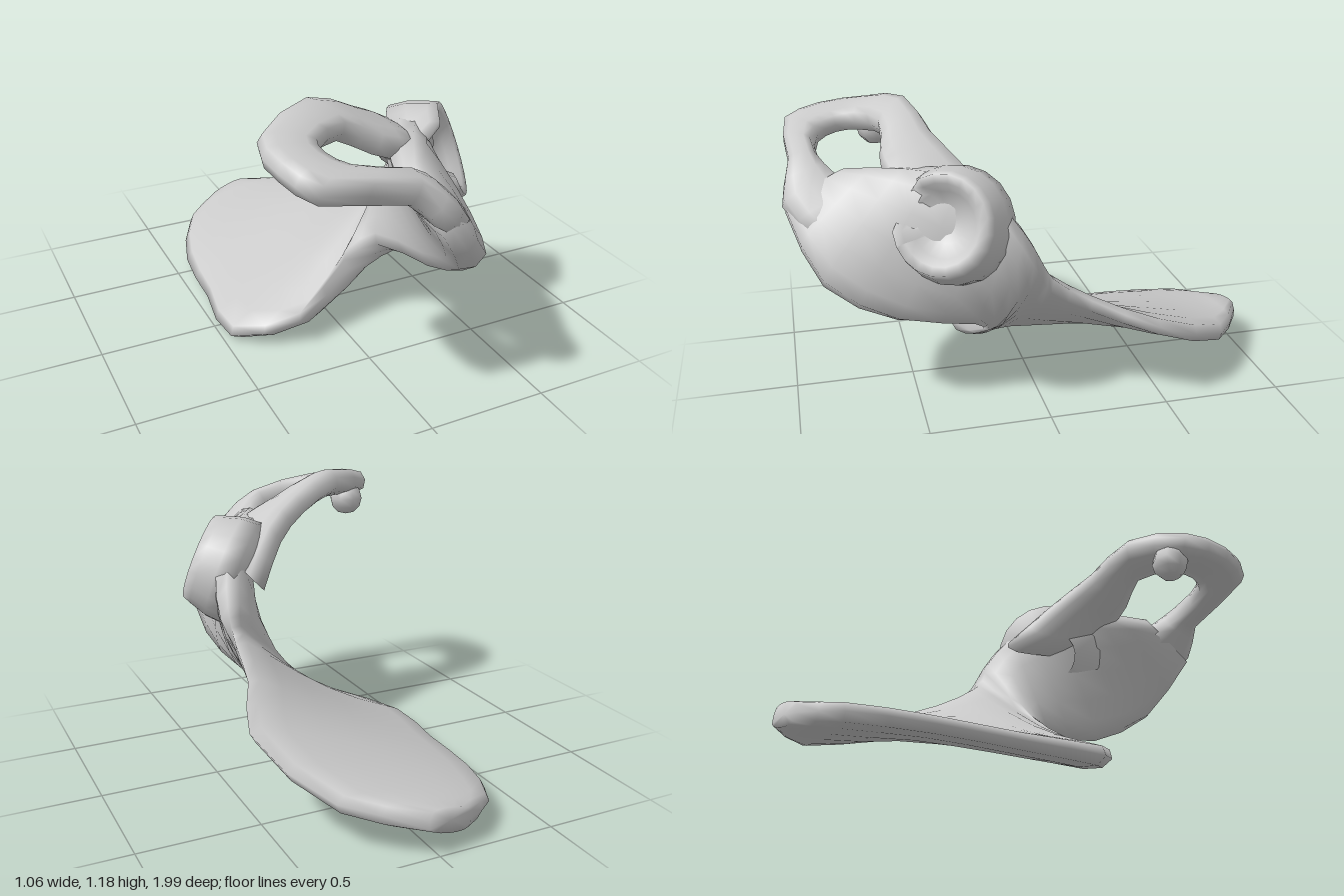
import * as THREE from 'three';

const V = (a) => new THREE.Vector3(...a);
const material = new THREE.MeshStandardMaterial({ color: 0xcccccc, side: THREE.DoubleSide });

// Sweep a flattened cross-section between two smooth edge curves.
// Each station: [edge A, edge B, sag of the middle, half thickness]
function sweep(name, stations, sides) {
  const curve = (pick) => new THREE.CatmullRomCurve3(stations.map(pick));
  const last = (stations.length - 1) * 2;
  const edgeA = curve((s) => V(s[0])).getPoints(last);
  const edgeB = curve((s) => V(s[1])).getPoints(last);
  const size = curve((s) => V([s[2], s[3], 0])).getPoints(last);
  const mid = edgeA.map((a, i) => {
    const m = a.clone().lerp(edgeB[i], 0.5);
    m.y -= size[i].x;
    return m;
  });

  const points = [], index = [];
  for (let i = 0; i <= last; i++) {
    const along = mid[Math.min(i + 1, last)].clone().sub(mid[Math.max(i - 1, 0)]);
    const normal = edgeB[i].clone().sub(edgeA[i]).cross(along).normalize();
    for (let k = 0; k < sides; k++) {
      const angle = (k / sides) * Math.PI * 2, u = Math.cos(angle), s = Math.sin(angle);
      points.push(new THREE.Vector3()
        .addScaledVector(edgeA[i], (u * (u - 1)) / 2)
        .addScaledVector(mid[i], 1 - u * u)
        .addScaledVector(edgeB[i], (u * (u + 1)) / 2)
        .addScaledVector(normal, size[i].y * Math.sign(s) * Math.pow(Math.abs(s), 0.45)));
    }
  }
  // Side faces and end caps
  const cap = points.length;
  points.push(mid[0], mid[last]);
  for (let k = 0; k < sides; k++) {
    const k1 = (k + 1) % sides;
    for (let i = 0; i < last; i++) {
      const a = i * sides + k, b = i * sides + k1;
      index.push(a, a + sides, b, b, a + sides, b + sides);
    }
    index.push(cap, k, k1, cap + 1, last * sides + k1, last * sides + k);
  }
  const geo = new THREE.BufferGeometry().setFromPoints(points);
  geo.setIndex(index);
  geo.computeVertexNormals();
  const mesh = new THREE.Mesh(geo, material);
  mesh.name = name;
  return mesh;
}

// Hip socket: a turned cup on a flared base, with a notch in its front rim
function socket() {
  const axis = V([0.79, 0.35, 0.5]).normalize();
  const profile = [[0.12, -0.25], [0.24, -0.2], [0.235, -0.12], [0.21, -0.04], [0.195, 0],
    [0.16, -0.01], [0.13, -0.05], [0.07, -0.09], [0, -0.1]];
  const geo = new THREE.LatheGeometry(profile.map((p) => new THREE.Vector2(...p)), 20);
  geo.applyQuaternion(new THREE.Quaternion().setFromUnitVectors(V([0, 1, 0]), axis));
  const p = geo.attributes.position, v = new THREE.Vector3();
  for (let i = 0; i < p.count; i++) {
    v.fromBufferAttribute(p, i);
    const inNotch = v.dot(axis) > -0.06 && v.z > 0.06 && v.y > -0.03 && v.y < 0.13;
    if (inNotch) v.addScaledVector(axis, -0.06);
    p.setXYZ(i, v.x, v.y, v.z);
  }
  geo.computeVertexNormals();
  const mesh = new THREE.Mesh(geo, material);
  mesh.name = 'hipSocket';
  mesh.position.set(0.4, 0.87, 0.42);
  return mesh;
}

export function createModel() {
  const model = new THREE.Group();
  model.name = 'hipBone';

  // Wide blade, fanning round into the neck and the lower body
  model.add(sweep('bladeAndBody', [
    [[-0.15, 0.13, -0.97], [0.05, 0.18, -1.0], 0, 0.05],
    [[-0.32, 0.1, -0.84], [0.33, 0.22, -0.81], 0, 0.055],
    [[-0.44, 0.065, -0.54], [0.52, 0.39, -0.45], 0.01, 0.05],
    [[-0.46, 0.055, -0.2], [0.42, 0.49, -0.19], 0.05, 0.05],
    [[-0.475, 0.05, 0.14], [0.41, 0.6, -0.03], 0.08, 0.06],
    [[-0.22, 0.14, 0.29], [0.41, 0.66, 0.01], 0.09, 0.06],
    [[0.06, 0.28, 0.2], [0.41, 0.74, 0.05], 0.06, 0.08],
    [[0.21, 0.37, 0.26], [0.37, 0.89, 0.15], 0.04, 0.09],
    [[0.28, 0.43, 0.58], [0.23, 1.02, 0.3], 0.02, 0.085],
    [[0.24, 0.59, 0.86], [0.1, 1.01, 0.49], 0, 0.09],
    [[0.05, 0.84, 0.98], [0, 0.98, 0.72], 0, 0.06],
  ], 16));

  // Arch around the opening, from outer edge to inner edge
  model.add(sweep('arch', [
    [[0.25, 0.8, 0.1], [0.24, 0.85, 0.46], 0, 0.07],
    [[0.1, 0.97, 0.25], [0.1, 0.97, 0.58], 0, 0.065],
    [[-0.07, 1.08, 0.36], [-0.03, 1.02, 0.59], 0, 0.06],
    [[-0.28, 1.17, 0.43], [-0.17, 1.09, 0.57], 0, 0.06],
    [[-0.51, 1.12, 0.58], [-0.31, 1.09, 0.66], 0, 0.055],
    [[-0.53, 1.1, 0.8], [-0.32, 1.08, 0.74], 0, 0.05],
    [[-0.45, 1.06, 0.95], [-0.27, 1.06, 0.82], 0, 0.055],
    [[-0.08, 0.99, 0.95], [-0.08, 1.01, 0.83], 0, 0.06],
    [[0.06, 0.87, 0.99], [0, 0.95, 0.75], 0, 0.065],
    [[0.17, 0.74, 0.87], [0.14, 0.85, 0.65], 0, 0.06],
  ], 12));

  model.add(socket());

  // Small knob under the rear of the arch
  const knob = new THREE.Mesh(new THREE.SphereGeometry(0.08, 8, 6), material);
  knob.name = 'archKnob';
  knob.position.set(-0.4, 1.045, 0.57);
  model.add(knob);

  return model;
}
